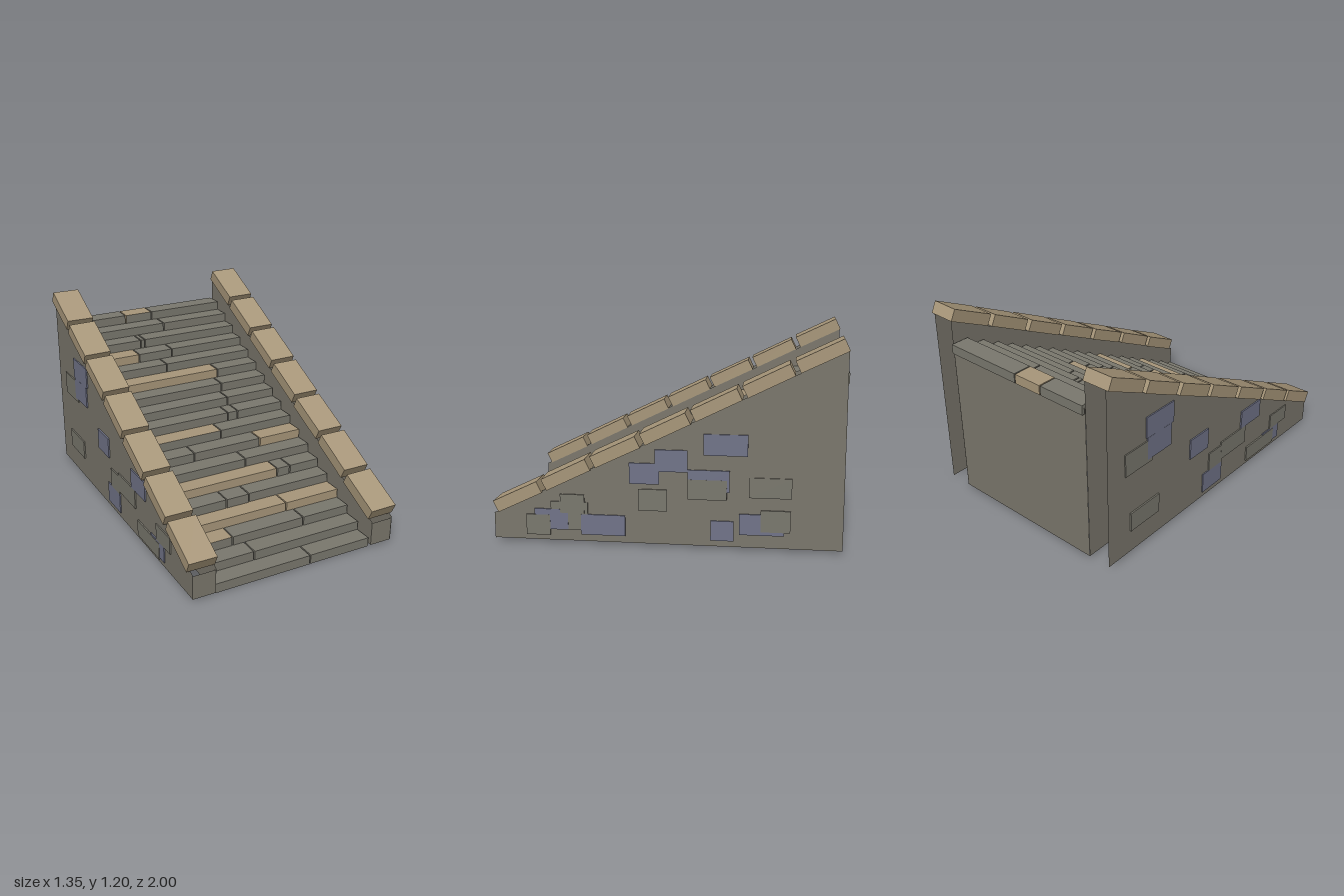
import * as THREE from 'three';

const mat = (name, color, side = THREE.FrontSide) => {
  const m = new THREE.MeshStandardMaterial({ color, side });
  m.name = name;
  return m;
};

export function createModel() {
  const stone = mat('grey stone', 0x7a786e);
  const wallMat = mat('wall grey', 0x7b776c, THREE.DoubleSide);
  const tan = mat('tan stone', 0xa8977a);
  const blue = mat('blue grey stone', 0x717489);
  const tanTop = [tan, tan, tan, tan, stone, tan]; // tan block with a grey riser

  const model = new THREE.Group();
  model.name = 'stoneStaircase';
  const group = (name) => {
    const g = new THREE.Group();
    g.name = name;
    model.add(g);
    return g;
  };
  const add = (parent, name, geo, material, x = 0, y = 0, z = 0) => {
    const m = new THREE.Mesh(geo, material);
    m.name = name;
    m.position.set(x, y, z);
    parent.add(m);
    return m;
  };
  let seed = 7;
  const jitter = (a) => {
    seed = (seed * 16807) % 2147483647;
    return (seed / 2147483647 - 0.5) * 2 * a;
  };

  // Steps, top row first: joints between stones, and a colour for each stone
  const rows = [
    [[-0.2, -0.01], 'gtg'], [[0.03], 'gg'], [[-0.19, -0.16], 'ggg'],
    [[-0.25, -0.015], 'Tgg'], [[-0.105], 'gg'], [[0.21], 'Tg'],
    [[0.18], 'gg'], [[0.165], 'gg'], [[0.11, 0.18], 'ggg'],
    [[0.0], 'tg'], [[-0.24, 0.215], 'ggT'], [[0.05], 'gg'],
    [[0.21, 0.3], 'Tgg'], [[-0.2, -0.05], 'ggg'], [[0.14], 'TT'],
    [[-0.28, 0.19], 'tgg'], [[-0.205], 'gg'], [[0.1], 'gg'],
  ];
  const paint = { g: stone, T: tan, t: tanTop };
  const rise = 0.055, run = 0.11;
  const steps = group('steps');
  rows.forEach(([joints, colours], i) => {
    const ends = [-0.508, ...joints, 0.508];
    const top = 0.99 - i * rise;
    [...colours].forEach((c, k) => {
      const w = ends[k + 1] - ends[k] - 0.008;
      const geo = new THREE.BoxGeometry(w, rise + 0.002, run + 0.004);
      const s = add(steps, 'stepStone', geo, paint[c],
        (ends[k] + ends[k + 1]) / 2, top - rise / 2, -0.942 + i * run + jitter(0.002));
      s.rotation.z = jitter(0.003);
      s.rotation.y = jitter(0.003);
    });
  });

  // Back panel between the side walls
  add(model, 'backPanel', new THREE.PlaneGeometry(1.02, 0.955), wallMat, 0, 0.4925, -0.985);

  // Hollow side walls: an inner and an outer sheet with a front face
  const profile = new THREE.Shape([
    new THREE.Vector2(1, 0.015), new THREE.Vector2(1, 0.165),
    new THREE.Vector2(-0.985, 1.13), new THREE.Vector2(-0.985, 0.015),
  ]);
  const sheet = new THREE.ShapeGeometry(profile).rotateY(-Math.PI / 2);
  const pitch = Math.atan(0.487);
  for (const side of [1, -1]) {
    const wall = group(side > 0 ? 'leftWall' : 'rightWall');
    add(wall, 'outerSheet', sheet, wallMat, side * 0.652);
    add(wall, 'innerSheet', sheet, wallMat, side * 0.511);
    add(wall, 'wallFront', new THREE.PlaneGeometry(0.139, 0.145), wallMat, side * 0.582, 0.0845, 0.998);

    // Sloping coping stones
    for (let i = 0; i < 7; i++) {
      const cap = add(wall, 'copingStone', new THREE.BoxGeometry(0.17, 0.072, 0.284), tan,
        side * 0.587, 0.267 + i * 0.1393, 0.857 - i * 0.2837);
      cap.rotation.set(pitch + jitter(0.008), jitter(0.01), jitter(0.012));
    }
  }

  // Facing stones on the outer sheets: [z0, z1, y0, y1, isBlue]
  const leftStones = [
    [-0.21, -0.455, 0.54, 0.66, 1], [0.21, 0.04, 0.365, 0.485, 1],
    [0.065, -0.12, 0.44, 0.565, 1], [-0.12, -0.355, 0.33, 0.455, 1],
    [-0.12, -0.34, 0.285, 0.4, 0], [-0.465, -0.7, 0.305, 0.42, 0],
    [0.16, -0.005, 0.21, 0.335, 0], [0.76, 0.565, 0.08, 0.2, 1],
    [0.81, 0.67, 0.045, 0.165, 0], [0.61, 0.47, 0.18, 0.29, 0],
    [0.665, 0.45, 0.08, 0.245, 0], [0.49, 0.235, 0.055, 0.175, 1],
    [-0.25, -0.38, 0.05, 0.165, 1], [-0.41, -0.66, 0.09, 0.21, 1],
    [-0.53, -0.695, 0.11, 0.235, 0],
  ];
  const rightStones = [
    [-0.63, -0.85, 0.54, 0.68, 0], [-0.45, -0.68, 0.7, 0.83, 1],
    [-0.47, -0.67, 0.56, 0.7, 1], [-0.12, -0.29, 0.36, 0.49, 1],
    [-0.57, -0.81, 0.16, 0.28, 0], [0.03, -0.155, 0.05, 0.18, 1],
    [0.03, -0.1, 0.18, 0.3, 0], [0.27, 0.02, 0.2, 0.32, 0],
    [0.42, 0.22, 0.32, 0.44, 1], [0.6, 0.3, 0.04, 0.14, 0],
    [0.66, 0.48, 0.05, 0.15, 1], [0.74, 0.56, 0.15, 0.25, 0],
  ];
  const facing = group('facingStones');
  [[1, leftStones], [-1, rightStones]].forEach(([side, list]) =>
    list.forEach(([z0, z1, y0, y1, isBlue], i) => {
      // Overlapping stones differ a little in thickness
      const t = 0.007 + (i % 5) * 0.0005;
      add(facing, 'facingStone', new THREE.BoxGeometry(t, y1 - y0, z0 - z1),
        isBlue ? blue : stone, side * (0.6525 + t / 2), (y0 + y1) / 2, (z0 + z1) / 2);
    }));

  return model;
}
